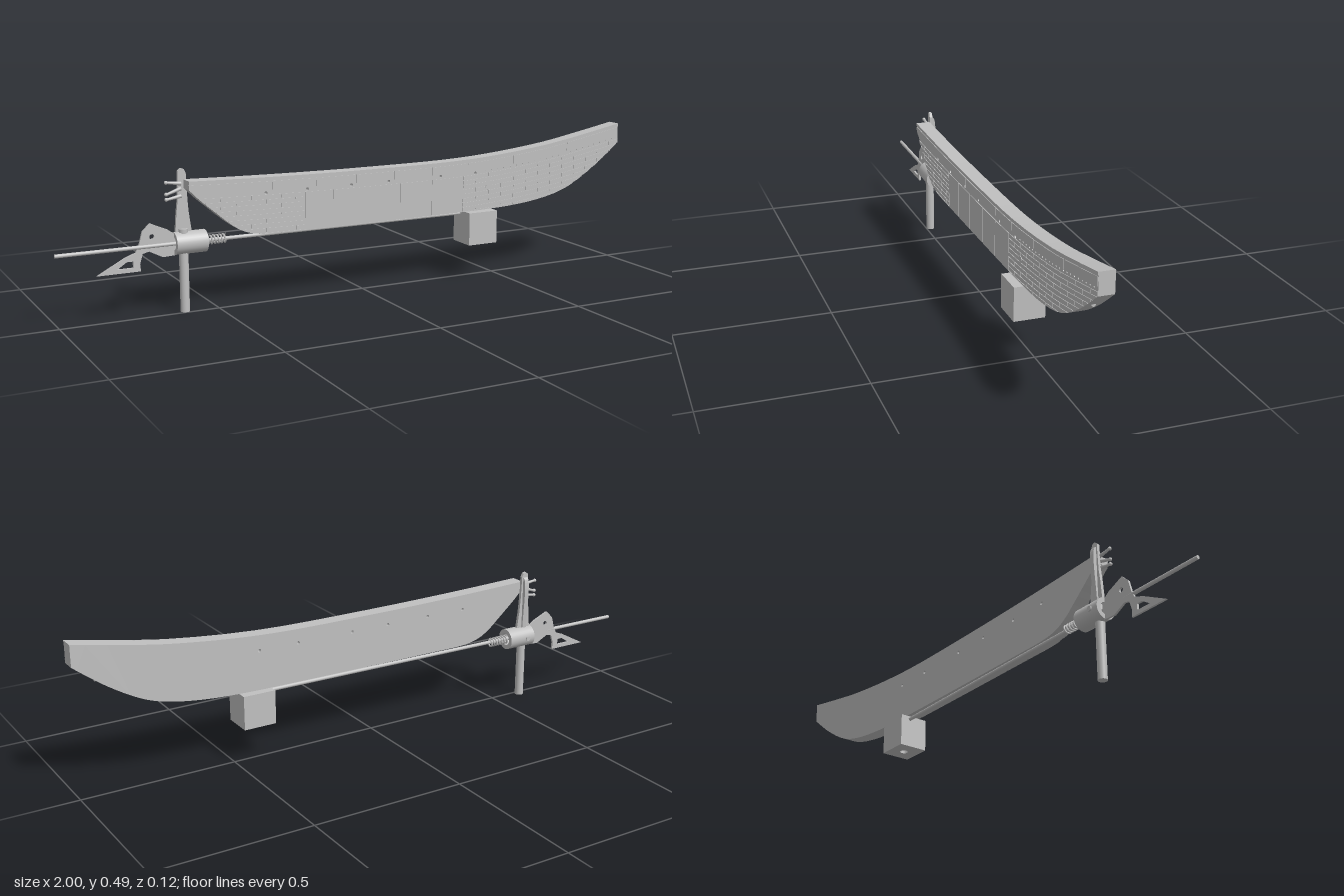
import * as THREE from 'three';

const grey = new THREE.MeshStandardMaterial({ color: 0xc0c0c0 });
grey.name = 'plain grey';

// Sheer line and keel line of the flat hull, as smooth curves sampled along x
const line = pts => new THREE.SplineCurve(pts.map(p => new THREE.Vector2(...p))).getPoints(64);
const sheer = line([[-0.6, 0.412], [-0.4, 0.406], [-0.2, 0.402], [0, 0.4], [0.3, 0.401],
  [0.5, 0.411], [0.7, 0.432], [0.85, 0.457], [1, 0.485]]);
const keel = line([[-0.6, 0.385], [-0.567, 0.352], [-0.53, 0.32], [-0.497, 0.292], [-0.46, 0.262],
  [-0.417, 0.239], [-0.35, 0.227], [-0.2, 0.226], [0.2, 0.226], [0.45, 0.228], [0.6, 0.236],
  [0.72, 0.255], [0.805, 0.285], [0.905, 0.345], [1, 0.417]]);

function heightAt(pts, x) {
  let i = 1;
  while (i < pts.length - 1 && pts[i].x < x) i++;
  const a = pts[i - 1], b = pts[i];
  return a.y + (b.y - a.y) * (x - a.x) / (b.x - a.x);
}

function circleHole(x, y, r, sides = 10) {
  const pts = [];
  for (let i = 0; i < sides; i++) {
    const a = -i / sides * Math.PI * 2;
    pts.push(new THREE.Vector2(x + r * Math.cos(a), y + r * Math.sin(a)));
  }
  return new THREE.Path(pts);
}

function extrude(shape, z0, z1) {
  const g = new THREE.ExtrudeGeometry(shape, { depth: z1 - z0, bevelEnabled: false });
  return g.translate(0, 0, z0);
}

const polygon = pts => new THREE.Shape(pts.map(p => new THREE.Vector2(...p)));

export function createModel() {
  const model = new THREE.Group();
  model.name = 'flatBoatModel';

  function add(name, geometry, parent = model) {
    const mesh = new THREE.Mesh(geometry, grey);
    mesh.name = name;
    parent.add(mesh);
    return mesh;
  }

  // Cylinder between two points
  function bar(name, a, b, r0, r1 = r0, sides = 20, parent = model) {
    const p = new THREE.Vector3(...a), q = new THREE.Vector3(...b);
    const mesh = add(name, new THREE.CylinderGeometry(r1, r0, p.distanceTo(q), sides), parent);
    mesh.position.copy(p).add(q).multiplyScalar(0.5);
    mesh.quaternion.setFromUnitVectors(new THREE.Vector3(0, 1, 0), q.sub(p).normalize());
    return mesh;
  }

  // Hull slab with a row of through holes
  const hullShape = new THREE.Shape([...keel, ...sheer.slice().reverse()]);
  for (const x of [-0.35, -0.21, -0.055, 0.08, 0.275, 0.41]) hullShape.holes.push(circleHole(x, 0.355, 0.0055));
  add('hull', extrude(hullShape, -0.016, 0.031));
  bar('bowPin', [0.9, 0.36, 0.009], [0.928, 0.36, 0.009], 0.006);

  // Shallow planking on the front face: each plank follows the sheer and stops at the keel
  const planking = new THREE.Group();
  planking.name = 'planking';
  model.add(planking);
  function plank(name, x0, x1, d0, d1) {
    const upper = [], lower = [];
    for (let i = 0; i <= 16; i++) {
      const x = x0 + (x1 - x0) * i / 16, top = heightAt(sheer, x);
      const low = Math.max(top - d1, heightAt(keel, x));
      if (top - d0 - low < 0.001) continue;
      upper.unshift([x, top - d0]);
      lower.push([x, low]);
    }
    if (lower.length > 1) add(name, extrude(polygon([...lower, ...upper]), 0.0305, 0.033), planking);
  }
  plank('topRail', -0.6, 1, 0, 0.01);
  const seams = [-0.6, -0.33, -0.18, -0.04, 0.1, 0.24, 0.38, 0.56, 0.78, 1];
  for (let i = 1; i < seams.length; i++) plank('upperPlank', seams[i - 1] + 0.002, seams[i] - 0.002, 0.013, 0.04);
  const panels = [-0.22, -0.12, 0.0, 0.12, 0.24, 0.36];
  for (let i = 1; i < panels.length; i++) plank('sidePanel', panels[i - 1] + 0.002, panels[i] - 0.002, 0.055, 0.18);
  for (let row = 0; row < 9; row++) {
    const d = 0.055 + row * 0.015, shift = row % 2 * 0.05;
    for (const [from, to] of [[-0.6, -0.222], [0.362, 1]]) {
      for (let x = from - shift; x < to; x += 0.1) {
        const a = Math.max(x, from), b = Math.min(x + 0.097, to);
        if (b - a > 0.01) plank('endPlank', a, b, d, d + 0.0125);
      }
    }
  }
  for (let x = 0.45; x < 0.98; x += 0.025) {
    const y = heightAt(sheer, x) - 0.0475;
    bar('stud', [x, y, 0.03], [x, y, 0.033], 0.003, 0.003, 8, planking);
  }
  bar('sidePin', [0.46, 0.305, 0.03], [0.46, 0.305, 0.0345], 0.011, 0.011, 5);

  // Foot block with a vertical socket
  const foot = polygon([[0.372, -0.06], [0.48, -0.06], [0.48, 0.04], [0.372, 0.04]]);
  foot.holes.push(circleHole(0.426, -0.01, 0.014, 20));
  add('footBlock', extrude(foot, 0.116, 0.226).rotateX(-Math.PI / 2).translate(0, 0, 0));

  // Long rod running beneath the hull, with the spring around it
  bar('longRod', [-1, 0.216, -0.019], [0.4, 0.216, -0.005], 0.006, 0.006, 16);
  const coil = [];
  for (let i = 0; i <= 84; i++) {
    const a = i / 12 * Math.PI * 2;
    coil.push(new THREE.Vector3(-0.54 + 0.075 * i / 84, 0.216 + 0.013 * Math.cos(a), -0.018 + 0.013 * Math.sin(a)));
  }
  add('spring', new THREE.TubeGeometry(new THREE.CatmullRomCurve3(coil), 168, 0.003, 6));

  // Hollow sleeve gripping the post
  const sleeve = [[0.02, -0.05], [0.035, -0.05], [0.035, 0.05], [0.02, 0.05], [0.02, -0.05]];
  const sleevePoints = [];
  sleeve.forEach(([r, y], i) => {
    // doubled corners keep the rims sharp
    sleevePoints.push(new THREE.Vector2(r, y));
    if (i > 0 && i < 4) sleevePoints.push(new THREE.Vector2(r, y));
  });
  const sleeveMesh = add('sleeve', new THREE.LatheGeometry(sleevePoints, 32).rotateZ(-Math.PI / 2));
  sleeveMesh.position.set(-0.585, 0.216, -0.018);
  bar('sleeveScrew', [-0.605, 0.216, -0.045], [-0.605, 0.216, -0.057], 0.008);

  // Upright post and its slender carved upper part
  bar('post', [-0.606, 0, -0.015], [-0.606, 0.26, -0.015], 0.0145, 0.0145, 32);
  const sternpost = polygon([[-0.63, 0.25], [-0.578, 0.25], [-0.586, 0.31], [-0.589, 0.35], [-0.592, 0.43],
    [-0.598, 0.443], [-0.608, 0.446], [-0.617, 0.438], [-0.62, 0.35], [-0.625, 0.31]]);
  add('sternpost', extrude(sternpost, -0.025, -0.015));
  const bulge = new THREE.Shape();
  bulge.moveTo(0.016, 0.25);
  bulge.lineTo(0.03, 0.25);
  bulge.bezierCurveTo(0.033, 0.32, 0.042, 0.39, 0.033, 0.42);
  bulge.quadraticCurveTo(0.03, 0.43, 0.016, 0.43);
  const ridge = add('sternRidge', extrude(bulge, -0.008, 0.008).rotateY(Math.PI / 2));
  ridge.position.x = -0.605;

  // Small hooks pointing aft
  for (const [y, rise] of [[0.4, 0.006], [0.385, -0.015], [0.362, -0.008]]) {
    bar('hook', [-0.61, y, -0.012], [-0.655, y + rise, -0.012], 0.006, 0.004, 10);
    add('hookTip', new THREE.SphereGeometry(0.006, 10, 8)).position.set(-0.657, y + rise, -0.012);
  }

  // Thin tail fin on the rod, with slots
  const fin = polygon([[-0.877, 0.142], [-0.742, 0.142], [-0.744, 0.165], [-0.735, 0.195], [-0.715, 0.2],
    [-0.672, 0.178], [-0.63, 0.18], [-0.625, 0.24], [-0.655, 0.262], [-0.71, 0.286], [-0.735, 0.262],
    [-0.745, 0.225], [-0.757, 0.2], [-0.79, 0.188]]);
  fin.holes.push(circleHole(-0.705, 0.245, 0.008));
  fin.holes.push(new THREE.Path([[-0.815, 0.155], [-0.785, 0.175], [-0.765, 0.175], [-0.765, 0.155]]
    .reverse().map(p => new THREE.Vector2(...p))));
  add('tailFin', extrude(fin, -0.022, -0.015));

  return model;
}
